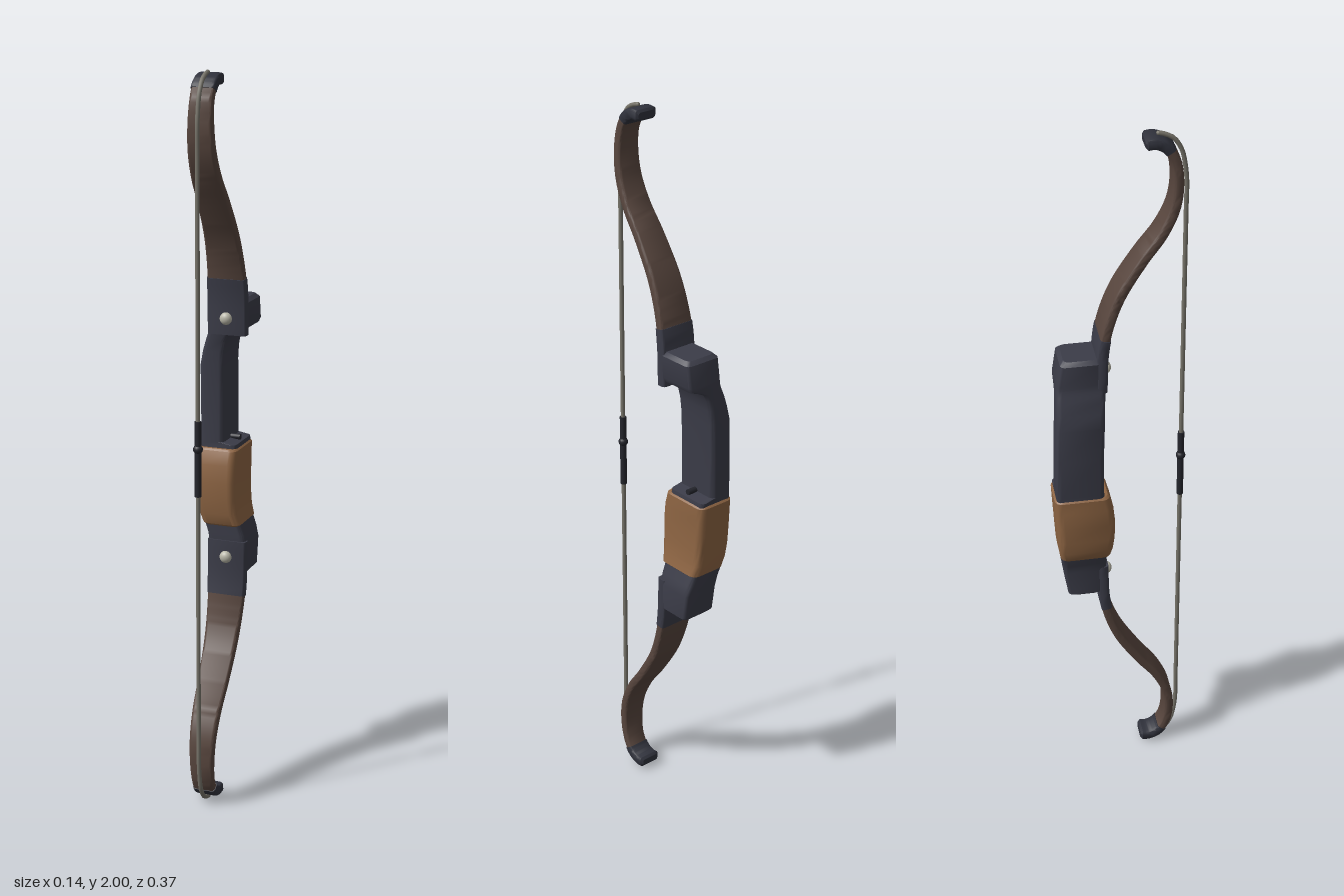
import * as THREE from 'three';
import { toCreasedNormals } from 'three/addons/utils/BufferGeometryUtils.js';

const mat = (name, color) => {
  const m = new THREE.MeshStandardMaterial({ color });
  m.name = name;
  return m;
};

// Skins rounded-rectangle sections: { c: centre, n: thickness axis, w: width in x, h: thickness, r: corner radius }
function loft(sections, crease = 0.6) {
  const pos = [], idx = [], K = 5, N = 4 * K;
  for (const { c, n, w, h, r } of sections) {
    for (let q = 0; q < 4; q++) {
      const sa = q === 0 || q === 3 ? 1 : -1, sb = q < 2 ? 1 : -1;
      for (let k = 0; k < K; k++) {
        const t = (q + k / (K - 1)) * Math.PI / 2;
        const a = sa * (h / 2 - r) + r * Math.cos(t);
        const b = sb * (w / 2 - r) + r * Math.sin(t);
        pos.push(c.x + b, c.y + n.y * a, c.z + n.z * a);
      }
    }
  }
  const S = sections.length;
  for (let s = 0; s < S - 1; s++) {
    for (let k = 0; k < N; k++) {
      const a = s * N + k, b = s * N + (k + 1) % N;
      idx.push(a, b, b + N, a, b + N, a + N);
    }
  }
  // End caps
  for (const s of [0, S - 1]) {
    const { c } = sections[s], m = pos.length / 3;
    pos.push(c.x, c.y, c.z);
    for (let k = 0; k < N; k++) {
      const a = s * N + k, b = s * N + (k + 1) % N;
      if (s) idx.push(m, a, b); else idx.push(m, b, a);
    }
  }
  const g = new THREE.BufferGeometry();
  g.setAttribute('position', new THREE.Float32BufferAttribute(pos, 3));
  g.setIndex(idx);
  return toCreasedNormals(g, crease);
}

// Upright body from rows of [y, xMin, xMax, zMin, zMax], with bevelled ends
function upright(rows, r, bevel) {
  const inset = ([y, a, b, c, d], dy) => [y + dy, a + bevel, b - bevel, c + bevel, d - bevel];
  const first = rows[0], last = rows[rows.length - 1];
  const all = [inset(first, -bevel), ...rows, inset(last, bevel)];
  return loft(all.map(([y, x0, x1, z0, z1]) => ({
    c: new THREE.Vector3((x0 + x1) / 2, y, (z0 + z1) / 2),
    n: new THREE.Vector3(0, 0, 1), w: x1 - x0, h: z1 - z0, r,
  })));
}

export function createModel() {
  const bow = new THREE.Group();
  bow.name = 'recurveBow';
  const riserMat = mat('charcoal riser', 0x3b3c48);
  const limbMat = mat('dark brown limb', 0x58463e);
  const gripMat = mat('tan wood grip', 0x8e6543);
  const tipMat = mat('dark tip', 0x30323c);
  const stringMat = mat('grey string', 0x77746a);
  const servingMat = mat('black serving', 0x24252c);
  const boltMat = mat('pale metal', 0xb9b7a8);
  const add = (parent, name, geo, m, x = 0, y = 0, z = 0) => {
    const mesh = new THREE.Mesh(geo, m);
    mesh.name = name;
    mesh.position.set(x, y, z);
    parent.add(mesh);
    return mesh;
  };
  const CX = 0.0135;

  // Riser with the cut-away sight window and arrow shelf
  add(bow, 'riser', upright([
    [0.625, -0.04, 0.068, -0.147, -0.05],
    [0.70, -0.04, 0.068, -0.158, -0.04],
    [0.73, -0.045, 0.06, -0.162, -0.04],
    [0.77, -0.058, 0.045, -0.166, -0.04],
    [0.81, -0.066, 0.036, -0.17, -0.04],
    [0.97, -0.068, 0.036, -0.178, -0.048],
    [0.982, -0.068, 0.034, -0.179, -0.049],
    [0.988, -0.068, 0.0, -0.179, -0.049],
    [1.10, -0.069, 0.0, -0.178, -0.049],
    [1.20, -0.069, 0.0, -0.175, -0.046],
    [1.24, -0.061, 0.003, -0.173, -0.044],
    [1.27, -0.052, 0.009, -0.172, -0.042],
    [1.29, -0.045, 0.02, -0.17, -0.04],
    [1.30, -0.042, 0.04, -0.169, -0.039],
    [1.308, -0.04, 0.062, -0.168, -0.038],
    [1.32, -0.04, 0.068, -0.167, -0.038],
    [1.38, -0.04, 0.068, -0.158, -0.042],
  ], 0.014, 0.01), riserMat);
  const rest = add(bow, 'arrowRest', new THREE.CylinderGeometry(0.008, 0.008, 0.03, 16), servingMat, 0.012, 0.991, -0.112);
  rest.rotation.z = Math.PI / 2;

  // Swelling grip sleeve
  add(bow, 'grip', upright([
    [0.76, -0.057, 0.053, -0.168, -0.03],
    [0.79, -0.066, 0.045, -0.172, -0.024],
    [0.83, -0.071, 0.041, -0.175, -0.02],
    [0.88, -0.072, 0.04, -0.178, -0.019],
    [0.93, -0.072, 0.04, -0.181, -0.024],
    [0.967, -0.072, 0.04, -0.183, -0.034],
  ], 0.02, 0.005), gripMat);

  // Limb centreline as [height above the middle, z]
  const path = new THREE.CatmullRomCurve3([
    [0.29, -0.05], [0.40, -0.046], [0.47, -0.034], [0.56, -0.002], [0.66, 0.058], [0.73, 0.108],
    [0.80, 0.139], [0.87, 0.147], [0.93, 0.138], [0.964, 0.117], [0.977, 0.09], [0.976, 0.07],
  ].map(([y, z]) => new THREE.Vector3(0, y, z)));
  const X = new THREE.Vector3(1, 0, 0);
  const sectionAt = (u, grow = 0) => {
    const c = path.getPointAt(u);
    const w = THREE.MathUtils.lerp(0.108, 0.062, THREE.MathUtils.smoothstep(c.y, 0.3, 1.05) * 0.3
      + THREE.MathUtils.clamp((c.y - 0.42) / 0.5, 0, 1) * 0.7) + grow;
    return { c, n: X.clone().cross(path.getTangentAt(u)), w, h: 0.027 + grow, r: 0.009 };
  };
  const limbPiece = (u0, u1, steps, grow) => {
    const list = [];
    for (let i = 0; i <= steps; i++) list.push(sectionAt(u0 + (u1 - u0) * i / steps, grow));
    return list;
  };
  // Fraction of the path where it reaches a given height
  const uAtHeight = (y) => {
    let u = 0;
    while (path.getPointAt(u).y < y) u += 0.002;
    return u;
  };
  const uPocket = uAtHeight(0.445), uTip = 0.915;
  const tipRings = limbPiece(uTip, 1, 10, 0.003);
  const end = tipRings[tipRings.length - 1];
  tipRings.push({ ...end, c: end.c.clone().add(new THREE.Vector3(0, 0, -0.006)), w: end.w - 0.012, h: end.h - 0.012, r: 0.006 });
  const stringPath = new THREE.CatmullRomCurve3([
    [0.994, 0.10], [0.99, 0.115], [0.977, 0.138], [0.945, 0.158], [0.90, 0.168], [0.86, 0.172], [0.78, 0.172], [0.4, 0.172], [0, 0.172],
  ].map(([y, z]) => new THREE.Vector3(0, y, z)));

  // Upper half, repeated upside down for the lower half
  for (const [name, turn] of [['upper', 0], ['lower', Math.PI]]) {
    const half = new THREE.Group();
    half.name = name + 'Limb';
    half.position.set(CX, 1.002, 0);
    half.rotation.z = turn;
    add(half, name + 'Pocket', loft(limbPiece(0, uPocket, 8, 0.003)), riserMat);
    add(half, name + 'LimbBlade', loft(limbPiece(uPocket, uTip, 48, 0)), limbMat);
    add(half, name + 'Tip', loft(tipRings), tipMat);
    const bolt = add(half, name + 'Bolt', new THREE.SphereGeometry(0.017, 20, 14), boltMat, 0, 0.335, -0.032);
    bolt.scale.z = 0.8;
    add(half, name + 'String', new THREE.TubeGeometry(stringPath, 80, 0.006, 10), stringMat);
    add(half, name + 'StringEnd', new THREE.SphereGeometry(0.006, 10, 8), stringMat, 0, 0.994, 0.10);
    bow.add(half);
  }

  // String serving and nocking bead
  add(bow, 'serving', new THREE.CylinderGeometry(0.009, 0.009, 0.205, 16), servingMat, CX, 1.003, 0.172);
  add(bow, 'nockingBead', new THREE.SphereGeometry(0.013, 16, 12), servingMat, CX, 1.03, 0.172);
  return bow;
}
